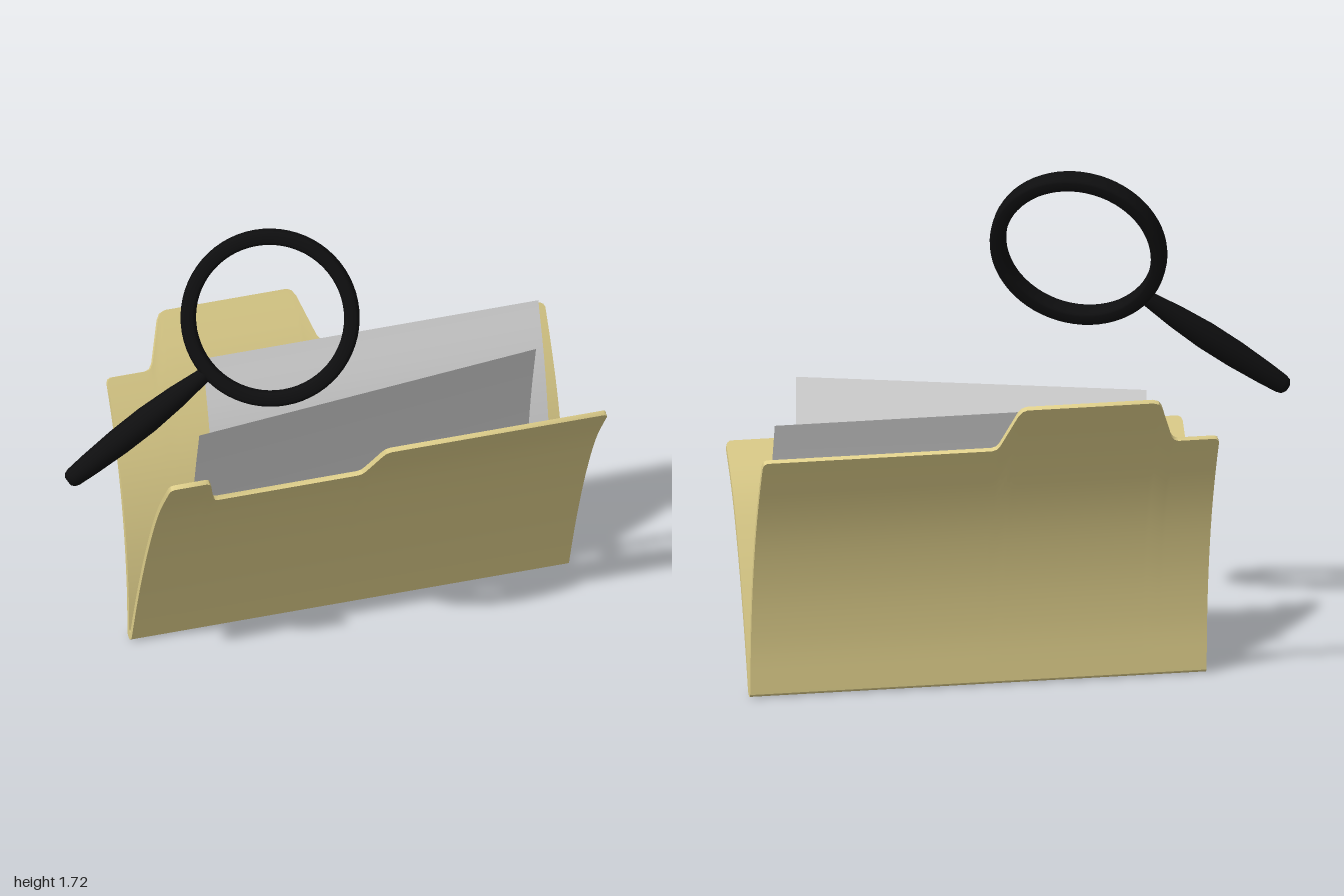
import * as THREE from 'three';
import { toCreasedNormals } from 'three/addons/utils/BufferGeometryUtils.js';

const manila = new THREE.MeshStandardMaterial({ color: 0xdfcf8b });
manila.name = 'manila';
const paper = new THREE.MeshStandardMaterial({ color: 0xdcdcdc, side: THREE.DoubleSide });
paper.name = 'paper';
const black = new THREE.MeshStandardMaterial({ color: 0x0e0e0f });
black.name = 'black';

// smooth z(t) through [t, z] knots, clamped at both ends
function bend(knots) {
  const ts = knots.map(k => k[0]);
  const spline = new THREE.CubicInterpolant(ts, knots.map(k => k[1]), 1, new Float32Array(1));
  const lo = ts[0], hi = ts[ts.length - 1];
  return t => spline.evaluate(Math.min(hi, Math.max(lo, t)))[0];
}

function add(parent, name, geometry, material) {
  const mesh = new THREE.Mesh(geometry, material);
  mesh.name = name;
  parent.add(mesh);
  return mesh;
}

// curved card: outline gives [x, height] along the top edge, z(y) the bend
function cardPanel(outline, zOf, yMax) {
  const rows = 20, half = 0.009, y0 = 0.012;
  const loops = outline.map(([x, top]) => {
    const front = [], back = [];
    for (let r = 0; r <= rows; r++) {
      const y = y0 + (top - y0) * r / rows;
      const a = Math.max(y0, y - 0.01), b = Math.min(yMax, y + 0.01);
      const n = new THREE.Vector3(0, -(zOf(b) - zOf(a)) / (b - a), 1).normalize();
      const p = new THREE.Vector3(x, y, zOf(y));
      front.push(p.clone().addScaledVector(n, half));
      back.push(p.clone().addScaledVector(n, -half));
    }
    return [...front, ...back.reverse()];
  });
  const pos = [];
  const quad = (a, b, c, d) => [a, b, c, a, c, d].forEach(p => pos.push(p.x, p.y, p.z));
  const count = 2 * (rows + 1);
  for (let i = 0; i < loops.length - 1; i++) {
    const l = loops[i], r = loops[i + 1];
    for (let k = 0; k < count; k++) {
      const m = (k + 1) % count;
      quad(l[k], r[k], r[m], l[m]);
    }
  }
  // side edges
  const first = loops[0], last = loops[loops.length - 1];
  for (let k = 0; k < rows; k++) {
    const o = count - 1 - k;
    quad(first[k], first[k + 1], first[o - 1], first[o]);
    quad(last[o], last[o - 1], last[k + 1], last[k]);
  }
  const g = new THREE.BufferGeometry();
  g.setAttribute('position', new THREE.Float32BufferAttribute(pos, 3));
  return toCreasedNormals(g, 0.6);
}

// thin sheet bent by z(v), v running 0..1 from bottom to top
function sheet(w, h, zOf, skew = 0) {
  const g = new THREE.PlaneGeometry(w, h, 1, 20);
  const p = g.attributes.position;
  for (let i = 0; i < p.count; i++) p.setZ(i, zOf(p.getY(i) / h + 0.5) + skew * p.getX(i));
  g.computeVertexNormals();
  return g;
}

export function createModel() {
  const model = new THREE.Group();
  model.name = 'folderWithMagnifier';

  // folder
  const folder = new THREE.Group();
  folder.name = 'folder';
  model.add(folder);
  const frontBend = bend([[0.012, -0.124], [0.17, -0.07], [0.29, -0.024], [0.47, 0.055], [0.66, 0.16], [0.81, 0.28]]);
  const backBend = bend([[0.012, -0.146], [0.2, -0.155], [0.43, -0.19], [0.66, -0.256], [0.92, -0.375], [1.08, -0.472]]);
  const frontTop = [
    [-0.615, 0.79], [-0.61, 0.8], [-0.6, 0.805], [-0.485, 0.805], [-0.47, 0.8], [-0.46, 0.785],
    [-0.425, 0.695], [-0.415, 0.68], [-0.4, 0.675], [0.115, 0.675], [0.13, 0.68], [0.14, 0.695],
    [0.175, 0.785], [0.185, 0.8], [0.2, 0.805], [0.985, 0.805], [0.995, 0.8], [1, 0.79]];
  const backTop = [
    [-0.615, 0.895], [-0.61, 0.905], [-0.6, 0.91], [-0.47, 0.91], [-0.455, 0.915], [-0.443, 0.93],
    [-0.395, 1.055], [-0.382, 1.073], [-0.36, 1.08], [0.085, 1.08], [0.102, 1.073], [0.115, 1.055],
    [0.163, 0.93], [0.175, 0.915], [0.19, 0.91], [0.985, 0.91], [0.995, 0.905], [1, 0.895]];
  add(folder, 'frontPanel', cardPanel(frontTop, frontBend, 0.81), manila);
  add(folder, 'backPanel', cardPanel(backTop, backBend, 1.08), manila);
  const spine = add(folder, 'spineFold', new THREE.CylinderGeometry(0.016, 0.016, 1.615, 16), manila);
  spine.rotation.z = Math.PI / 2;
  spine.position.set(0.1925, 0.016, -0.136);

  // papers
  const frontPaperBend = bend([[0, -0.09], [0.25, -0.05], [0.5, 0.01], [0.75, 0.09], [1, 0.18]]);
  const frontPaper = add(model, 'frontPaper', sheet(1.245, 0.77, frontPaperBend, 0.008), paper);
  frontPaper.rotation.z = 0.093;
  frontPaper.position.set(0.185, 0.61, 0);
  const backPaperBend = bend([[0, -0.1], [0.19, -0.105], [0.47, -0.13], [0.75, -0.173], [1, -0.233]]);
  const backPaper = add(model, 'backPaper', sheet(1.24, 0.81, backPaperBend), paper);
  backPaper.position.set(0.31, 0.595, 0);

  // magnifier
  const magnifier = new THREE.Group();
  magnifier.name = 'magnifier';
  model.add(magnifier);
  const up = new THREE.Vector3(0, 1, 0);

  // ring: rounded band turned about its axis
  const section = [];
  for (let i = 0; i <= 20; i++) {
    const a = i / 20 * Math.PI * 2, c = Math.cos(a), s = Math.sin(a);
    section.push(new THREE.Vector2(
      0.284 + 0.027 * Math.sign(c) * Math.sqrt(Math.abs(c)),
      0.037 * Math.sign(s) * Math.pow(Math.abs(s), 0.7)));
  }
  const ring = add(magnifier, 'lensRing', new THREE.LatheGeometry(section, 64), black);
  ring.position.set(-0.255, 1.425, 0.3);
  ring.quaternion.setFromUnitVectors(up, new THREE.Vector3(-0.36, 0.34, 0.87).normalize());

  // handle: swollen grip with a rounded tip
  const start = new THREE.Vector3(-0.465, 1.255, 0.287);
  const tip = new THREE.Vector3(-0.985, 0.893, 0.257);
  const axis = tip.clone().sub(start);
  const length = axis.length();
  const profile = [[0, 0], [0.024, 0], [0.028, 0.08], [0.04, 0.25], [0.048, 0.45], [0.047, 0.65],
    [0.04, 0.85], [0.034, 0.96], [0.029, 0.985], [0.018, 1], [0, 1]]
    .map(([r, t]) => new THREE.Vector2(r, t * length));
  const handle = add(magnifier, 'handle', new THREE.LatheGeometry(profile, 24), black);
  handle.position.copy(start);
  handle.quaternion.setFromUnitVectors(up, axis.normalize());

  return model;
}
